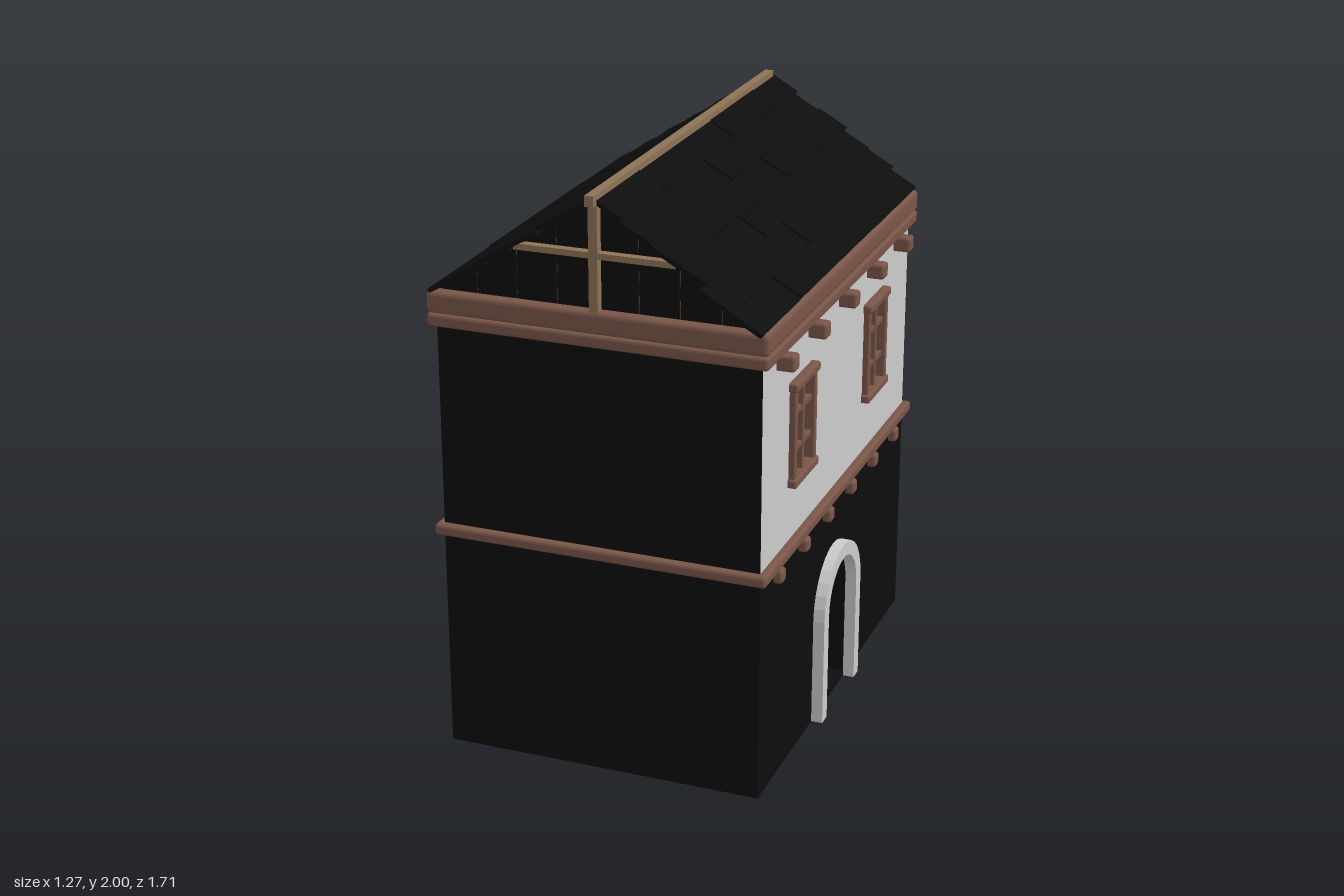
import * as THREE from 'three';
import { RoundedBoxGeometry } from 'three/addons/geometries/RoundedBoxGeometry.js';

const mat = (color) => new THREE.MeshStandardMaterial({ color, side: THREE.DoubleSide, flatShading: true });
const GREY = mat(0xcccccc), BLACK = mat(0x0d0d0d), BROWN = mat(0x795548);
const TAN = mat(0x8d7355), ORANGE = mat(0xe65c00), BLUE = mat(0x37627f);

const X0 = -0.53, X1 = 0.57, CX = 0.02, ZH = 0.785, MID = 0.79, TOP = 1.55;

function add(parent, name, geometry, material, x = 0, y = 0, z = 0) {
  const m = new THREE.Mesh(geometry, material);
  m.name = name;
  m.position.set(x, y, z);
  parent.add(m);
  return m;
}

// box given by its min / max corners; r > 0 rounds the edges
function box(parent, name, material, [x0, x1], [y0, y1], [z0, z1], r = 0) {
  const s = [x1 - x0, y1 - y0, z1 - z0];
  const g = r ? new RoundedBoxGeometry(...s, 2, r) : new THREE.BoxGeometry(...s);
  return add(parent, name, g, material, (x0 + x1) / 2, (y0 + y1) / 2, (z0 + z1) / 2);
}

// outline of an opening: rectangle, or rectangle with a half-round head
function outline(cx, y0, hw, spring, round) {
  const p = [new THREE.Vector2(cx - hw, y0), new THREE.Vector2(cx + hw, y0)];
  const n = round ? 14 : 1;
  for (let i = 0; i <= n; i++) {
    const a = (i / n) * Math.PI;
    p.push(new THREE.Vector2(cx + Math.cos(a) * hw, spring + (round ? Math.sin(a) * hw : 0)));
  }
  return p;
}

// wall sheet with holes, and a recess with a back panel behind each hole
function wall(parent, name, material, y0, y1, openings) {
  const shape = new THREE.Shape([[-ZH, y0], [ZH, y0], [ZH, y1], [-ZH, y1]].map((p) => new THREE.Vector2(...p)));
  for (const o of openings) {
    shape.holes.push(new THREE.Path(o.points));
    const pos = [], n = o.points.length;
    for (let i = 0; i < n; i++) {
      const a = o.points[i], b = o.points[(i + 1) % n], d = -o.depth;
      pos.push(a.x, a.y, 0, a.x, a.y, d, b.x, b.y, d, a.x, a.y, 0, b.x, b.y, d, b.x, b.y, 0);
    }
    const g = new THREE.BufferGeometry();
    g.setAttribute('position', new THREE.Float32BufferAttribute(pos, 3));
    g.computeVertexNormals();
    add(parent, 'reveal', g, material);
    add(parent, 'panel', new THREE.ShapeGeometry(new THREE.Shape(o.points)), o.panel, 0, 0, -o.depth);
  }
  add(parent, name, new THREE.ShapeGeometry(shape), material);
}

// timber frame of a rectangular window
function windowFrame(parent, cx, y0, y1, hw) {
  const g = new THREE.Group();
  g.name = 'windowFrame';
  parent.add(g);
  for (const [a, b] of [[y0, y0 + 0.03], [y1 - 0.03, y1]])
    box(g, 'frameRail', BROWN, [cx - hw, cx + hw], [a, b], [-0.02, 0.03], 0.008);
  for (const s of [-1, 1]) {
    const c = cx + s * (hw - 0.02);
    box(g, 'framePost', BROWN, [c - 0.012, c + 0.012], [y0 + 0.02, y1 - 0.02], [-0.02, 0.022], 0.005);
  }
  bars(g, cx, y0 + 0.02, y1 - 0.02, hw - 0.02, [y0 + (y1 - y0) * 0.33, y0 + (y1 - y0) * 0.68]);
}

function bars(parent, cx, y0, y1, hw, heights) {
  box(parent, 'mullion', BROWN, [cx - 0.009, cx + 0.009], [y0, y1], [-0.012, 0.012]);
  for (const y of heights)
    box(parent, 'glazingBar', BROWN, [cx - hw, cx + hw], [y - 0.008, y + 0.008], [-0.01, 0.01]);
}

// stone surround following a round head, with optional legs
function archTrim(parent, cx, y0, spring, rIn, rOut, depth) {
  const outer = outline(cx, y0, rOut, spring, true).slice(1);
  const inner = outline(cx, y0, rIn, spring, true).slice(1).reverse();
  outer.push(new THREE.Vector2(cx - rOut, y0));
  inner.unshift(new THREE.Vector2(cx - rIn, y0));
  const g = new THREE.ExtrudeGeometry(new THREE.Shape([...outer, ...inner]), { depth, bevelEnabled: false });
  add(parent, 'archTrim', g, GREY);
}

// ring of four rounded timbers around the house
function band(parent, y0, y1, r) {
  const y = [y0, y1], o = 0.026;
  for (const z of [ZH, -ZH]) box(parent, 'bandBeam', BROWN, [X0 - o, X1 + o], y, [z - 0.025, z + o], r);
  for (const x of [X0, X1]) box(parent, 'bandBeam', BROWN, [x - o, x + o], y, [-ZH - o, ZH + o], r);
}

// roof courses from ridge to eave: z start, joints, z end
const COURSES = {
  right: [[-0.85, -0.62, -0.18, 0.45, 0.81], [-0.83, -0.385, 0.1, 0.58, 0.82], [-0.865, -0.57, -0.195, 0.4, 0.82],
    [-0.84, -0.37, 0.275, 0.8], [-0.84, -0.48, 0.11, 0.59, 0.85], [-0.82, -0.31, 0.47, 0.84]],
  left: [[-0.82, -0.43, 0.27, 0.82], [-0.86, -0.655, -0.02, 0.56, 0.82], [-0.82, -0.33, 0.32, 0.84],
    [-0.835, -0.58, 0.03, 0.84], [-0.805, -0.27, 0.24, 0.83], [-0.805, -0.42, 0.36, 0.82]],
};

function roof(parent) {
  const slope = Math.atan2(0.36, 0.555), step = 0.6615 / 6;
  for (const side of ['right', 'left']) {
    const s = side === 'right' ? 1 : -1;
    COURSES[side].forEach((zs, i) => {
      for (let k = 0; k + 1 < zs.length; k++) {
        const d = (i + 0.5) * step, len = zs[k + 1] - zs[k] - 0.008;
        const m = add(parent, 'roofBoard', new THREE.BoxGeometry(step + 0.012, 0.014, len), BLACK,
          CX + s * d * Math.cos(slope), 1.982 - d * Math.sin(slope) + (k % 2) * 0.003, (zs[k] + zs[k + 1]) / 2);
        m.rotation.z = -s * (slope - 0.06); // each board laps over the one below
      }
    });
  }
  box(parent, 'ridgeBeam', TAN, [CX - 0.015, CX + 0.015], [1.965, 2], [-0.83, 0.83]);
  for (const e of [-1, 1]) {
    // vertical gable boards with narrow gaps
    for (let i = -4; i < 4; i++) {
      const a = i * 0.137 + 0.003, b = (i + 1) * 0.137 - 0.003;
      const h = (x) => 1.975 - Math.abs(x) * 0.645;
      const pts = [[a, 1.59], [b, 1.59], [b, h(b)], [a, h(a)]].map((p) => new THREE.Vector2(...p));
      add(parent, 'gableBoard', new THREE.ExtrudeGeometry(new THREE.Shape(pts), { depth: 0.012, bevelEnabled: false }),
        BLACK, CX, 0, e * 0.765 - 0.006);
    }
    const z = [e * 0.79 - 0.015, e * 0.79 + 0.015];
    box(parent, 'gablePost', TAN, [CX - 0.015, CX + 0.015], [1.6, 1.98], z);
    box(parent, 'gableTie', TAN, [CX - 0.27, CX + 0.27], [1.792, 1.812], z);
  }
}

export function createModel() {
  const house = new THREE.Group();
  house.name = 'house';
  const sub = (name) => {
    const g = new THREE.Group();
    g.name = name;
    house.add(g);
    return g;
  };

  // plain end walls
  for (const e of [-1, 1]) {
    const m = add(house, 'endWall', new THREE.PlaneGeometry(X1 - X0, TOP), BLACK, CX, TOP / 2, e * ZH);
    if (e < 0) m.rotation.y = Math.PI;
  }

  // left side: arched door below, two framed windows above
  const L = sub('leftSide');
  L.position.x = X1;
  L.rotation.y = Math.PI / 2;
  wall(L, 'lowerWall', BLACK, 0, MID, [{ points: outline(-0.025, 0.004, 0.157, 0.383, true), depth: 0.08, panel: BROWN }]);
  archTrim(L, -0.025, 0, 0.383, 0.155, 0.205, 0.04);
  box(L, 'doorBand', BLUE, [-0.18, 0.13], [0.26, 0.29], [-0.082, -0.068]);
  box(L, 'threshold', BLACK, [-0.18, 0.13], [0, 0.02], [-0.08, 0]);
  const upper = [-0.415, 0.375];
  wall(L, 'upperWall', GREY, MID, TOP, upper.map((c) => (
    { points: outline(c, 1.02, 0.1, 1.34, false), depth: 0.09, panel: ORANGE })));
  for (const c of upper) windowFrame(L, c, 1.0, 1.36, 0.118);

  // right side: plank door and two windows below, two arched windows above
  const R = sub('rightSide');
  R.position.x = X0;
  R.rotation.y = -Math.PI / 2;
  const lower = [-0.475, 0.475];
  wall(R, 'lowerWall', GREY, 0, MID, [
    ...lower.map((c) => ({ points: outline(c, 0.21, 0.08, 0.49, false), depth: 0.09, panel: ORANGE })),
    { points: outline(0, 0.004, 0.115, 0.48, false), depth: 0.09, panel: BROWN }]);
  for (const c of lower) windowFrame(R, c, 0.19, 0.51, 0.095);
  for (let i = 0; i < 5; i++)
    box(R, 'doorPlank', BROWN, [-0.114 + i * 0.046, -0.072 + i * 0.046], [0.04, 0.478], [-0.1, -0.08]);
  box(R, 'doorBand', BLUE, [-0.114, 0.114], [0.27, 0.3], [-0.08, -0.07]);
  box(R, 'doorLintel', GREY, [-0.145, 0.145], [0.475, 0.51], [-0.02, 0.035]);
  box(R, 'doorStep', GREY, [-0.155, 0.155], [0, 0.04], [-0.08, 0.11]);
  const arched = [-0.3, 0.3];
  wall(R, 'upperWall', BLACK, MID, TOP, arched.map((c) => (
    { points: outline(c, 0.99, 0.1, 1.26, true), depth: 0.09, panel: BLACK })));
  for (const c of arched) {
    archTrim(R, c, 1.26, 1.26, 0.1, 0.14, 0.032);
    bars(R, c, 0.99, 1.36, 0.1, [1.1, 1.23]);
    box(R, 'windowSill', BLACK, [c - 0.15, c + 0.15], [0.965, 0.992], [-0.02, 0.062]);
  }

  // timber bands and the floor beams running through the house
  const T = sub('timbers');
  band(T, 0.77, 0.81, 0.012);
  band(T, 1.5, 1.545, 0.012);
  band(T, 1.545, 1.62, 0.015);
  for (let i = 0; i < 6; i++) {
    const z = -0.635 + i * 0.254;
    box(T, 'floorBeam', BROWN, [-0.56, 0.6], [0.718, 0.768], [z - 0.023, z + 0.023], 0.012);
  }
  for (let i = 0; i < 5; i++) {
    const z = -0.63 + i * 0.316;
    box(T, 'ceilingBeam', BROWN, [-0.525, 0.63], [1.448, 1.502], [z - 0.027, z + 0.027], 0.01);
  }

  roof(sub('roof'));
  return house;
}
